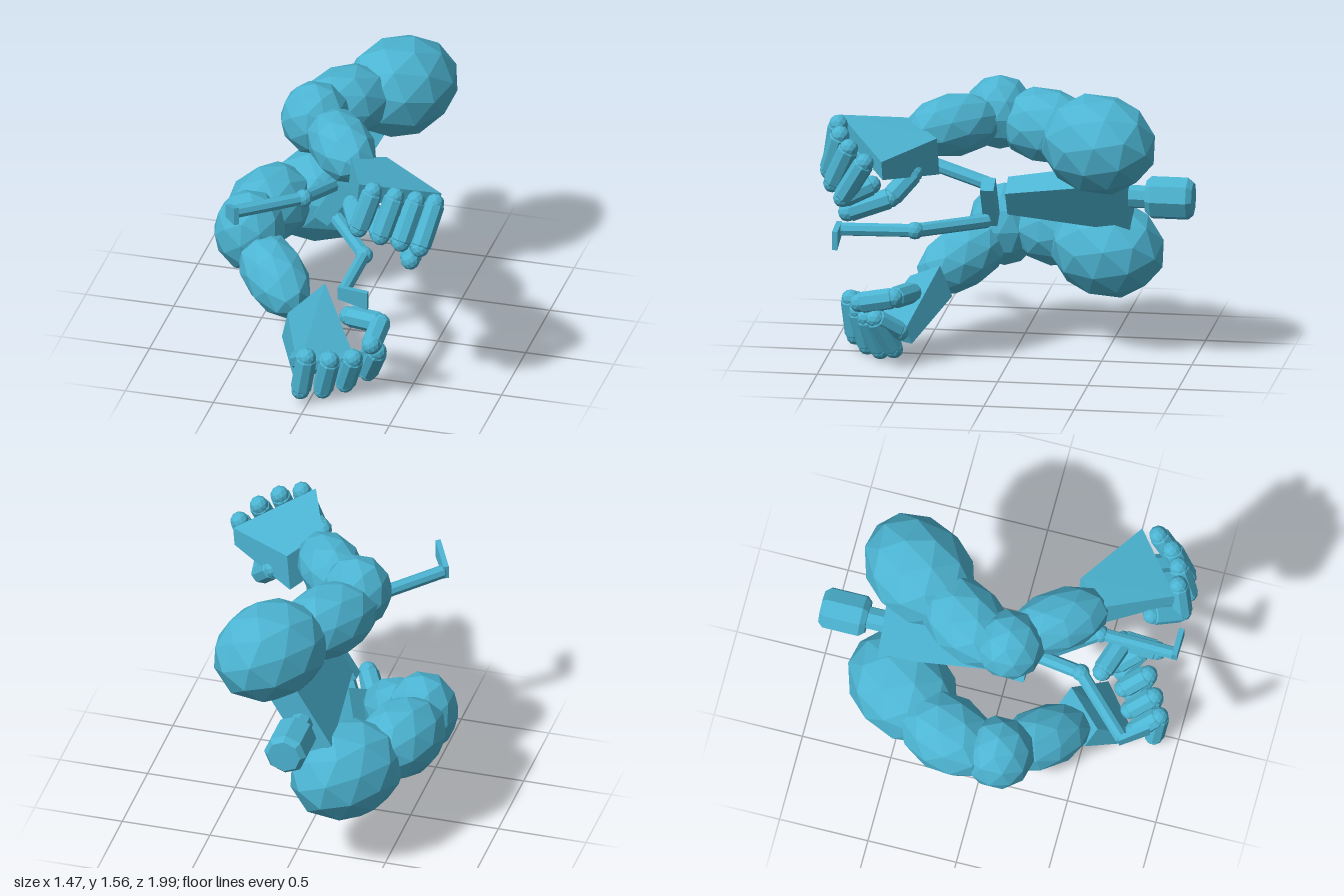
import * as THREE from 'three';
import { ConvexGeometry } from 'three/addons/geometries/ConvexGeometry.js';

const V = (x, y, z) => new THREE.Vector3(x, y, z);
const sum = (a, b) => a.clone().add(b);
const UP = V(0, 1, 0);
const ALONG_ARM = V(-0.55, 0, 0.83);

export function createModel() {
  const model = new THREE.Group();
  const skin = new THREE.MeshStandardMaterial({ color: 0x4cb4d2, flatShading: true });
  skin.name = 'blue';

  const addGroup = (name) => {
    const group = new THREE.Group();
    group.name = name;
    model.add(group);
    return group;
  };
  const add = (geometry, name, parent) => {
    const mesh = new THREE.Mesh(geometry, skin);
    mesh.name = name;
    parent.add(mesh);
    return mesh;
  };

  // Low-poly muscle: a faceted ball stretched along a direction
  const muscle = (name, parent, center, dir, long, short) => {
    const mesh = add(new THREE.IcosahedronGeometry(1, 1), name, parent);
    mesh.scale.set(short, long, short);
    mesh.quaternion.setFromUnitVectors(UP, dir.clone().normalize());
    mesh.position.copy(center);
  };

  // Eight-sided bar with chamfered ends between two points
  const bar = (name, parent, a, b, r) => {
    const h = a.distanceTo(b) / 2, c = r * 0.25;
    const half = [[0, h], [r * 0.78, h], [r, h - c]];
    const profile = [...half.map(([x, y]) => [x, -y]), ...half.reverse()];
    const mesh = add(new THREE.LatheGeometry(profile.map(([x, y]) => new THREE.Vector2(x, y)), 8), name, parent);
    mesh.quaternion.setFromUnitVectors(UP, b.clone().sub(a).normalize());
    mesh.position.copy(a).lerp(b, 0.5);
  };

  // Chain of bars with a round joint at each point
  const chain = (name, parent, points, r) => points.forEach((p, i) => {
    muscle(name + 'Joint', parent, p, UP, r * 0.9, r * 0.9);
    if (i > 0) bar(name, parent, points[i - 1], p, r);
  });

  // Slab: a face given by its corners, thickened by one vector, thinner on the far half by "taper"
  const slab = (name, parent, face, depth, taper = 1) => add(new ConvexGeometry([...face,
    ...face.map((p, i) => p.clone().addScaledVector(depth, i < 2 ? 1 : taper))]), name, parent);

  // Cross-section of the rolled body: hu across the shoulders, hv chest to back
  const section = (cx, cy, hu, hv, z) => [[1, 1], [1, -1], [-1, 1], [-1, -1]].map(([i, j]) =>
    V(cx + i * hu * 0.52 + j * hv * 0.855, cy + i * hu * 0.855 - j * hv * 0.52, z));

  // Trunk and head
  const chest = [...section(-0.065, 0.915, 0.082, 0.065, 0.03), ...section(-0.065, 0.935, 0.19, 0.085, -0.645)];
  add(new ConvexGeometry(chest), 'torso', model);
  slab('pelvis', model, section(-0.05, 0.88, 0.14, 0.05, 0.09), V(0, 0, 0.075));
  bar('neck', model, V(-0.065, 0.94, -0.6), V(-0.065, 0.94, -0.78), 0.065);
  bar('head', model, V(-0.065, 0.94, -0.74), V(-0.065, 0.94, -1), 0.12);

  // Palm slab, four curled fingers spread along an arched knuckle row, and a thumb
  const buildHand = (group, { palm, depth, row, arch, curl, fold, thumb }) => {
    slab('palm', group, palm, depth, 0.5);
    for (let i = 0; i < 4; i++) {
      const t = i / 3;
      const knuckle = row[0].clone().lerp(row[1], t).addScaledVector(arch, 4 * t * (1 - t));
      const bend = sum(knuckle, curl[0].clone().lerp(curl[1], t));
      chain('finger', group, [knuckle, bend, sum(bend, fold)], 0.058);
    }
    chain('thumb', group, thumb, 0.06);
  };

  // Left arm
  const leftArm = addGroup('leftArm');
  muscle('shoulder', leftArm, V(0.15, 1.29, -0.505), ALONG_ARM, 0.35, 0.28);
  muscle('upperArm', leftArm, V(-0.08, 1.32, -0.18), ALONG_ARM, 0.32, 0.21);
  muscle('elbow', leftArm, V(-0.17, 1.36, 0.09), UP, 0.21, 0.195);
  muscle('forearm', leftArm, V(0.04, 1.335, 0.31), V(0.36, -0.03, 0.5), 0.3, 0.175);
  buildHand(leftArm, {
    palm: [V(0.31, 1.33, 0.365), V(0.16, 1.4, 0.55), V(0.69, 1.29, 0.615), V(0.3, 1.44, 0.9)],
    depth: V(-0.02, -0.21, -0.01),
    row: [V(0.38, 1.41, 0.9), V(0.68, 1.28, 0.71)],
    arch: V(0.02, 0.015, 0.04),
    curl: [V(-0.07, -0.22, 0.04), V(-0.05, -0.22, 0.13)],
    fold: V(-0.08, 0.06, -0.15),
    thumb: [V(0.42, 1.16, 0.48), V(0.52, 1.04, 0.59), V(0.57, 0.965, 0.82)],
  });

  // Right arm
  const rightArm = addGroup('rightArm');
  muscle('shoulder', rightArm, V(-0.28, 0.58, -0.49), ALONG_ARM, 0.35, 0.275);
  muscle('upperArm', rightArm, V(-0.5, 0.63, -0.18), V(-0.35, 0, 0.9), 0.3, 0.22);
  muscle('elbow', rightArm, V(-0.535, 0.62, 0.12), UP, 0.235, 0.2);
  muscle('forearm', rightArm, V(-0.34, 0.48, 0.32), V(0.39, -0.22, 0.42), 0.3, 0.175);
  buildHand(rightArm, {
    palm: [V(-0.03, 0.51, 0.4), V(-0.19, 0.4, 0.59), V(0.165, 0.2, 0.56), V(-0.085, 0.16, 0.77)],
    depth: V(-0.05, -0.185, -0.06),
    row: [V(-0.04, 0.09, 0.87), V(0.27, 0.11, 0.61)],
    arch: V(0, -0.035, 0.005),
    curl: [V(0.04, 0.22, 0.02), V(0.08, 0.19, 0.09)],
    fold: V(-0.08, -0.09, -0.12),
    thumb: [V(0.14, 0.4, 0.53), V(0.34, 0.42, 0.6), V(0.34, 0.385, 0.79)],
  });

  // Thin leg ending in a flat foot that flares from heel to toe
  const buildLeg = (name, hip, knee, ankle, heel, toe) => {
    const group = addGroup(name);
    bar('thigh', group, hip, knee, 0.039);
    bar('shin', group, knee, ankle, 0.037);
    muscle('knee', group, knee, UP, 0.05, 0.05);
    const sole = [[heel, 0.037], [toe, 0.052]].flatMap(([p, h]) => [V(p.x, p.y + h, p.z), V(p.x, p.y - h, p.z)]);
    const depth = V(toe.z - heel.z, 0, heel.x - toe.x).setLength(0.03);
    slab('foot', group, sole, depth);
  };
  buildLeg('leftLeg', V(-0.05, 0.98, 0.13), V(-0.13, 1.07, 0.48), V(-0.46, 1.1, 0.8),
    V(-0.49, 1.105, 0.79), V(-0.4, 1.157, 0.94));
  buildLeg('rightLeg', V(-0.04, 0.775, 0.13), V(0.22, 0.775, 0.5), V(0.215, 0.765, 0.92),
    V(0.19, 0.765, 0.94), V(0.357, 0.735, 0.94));

  return model;
}
